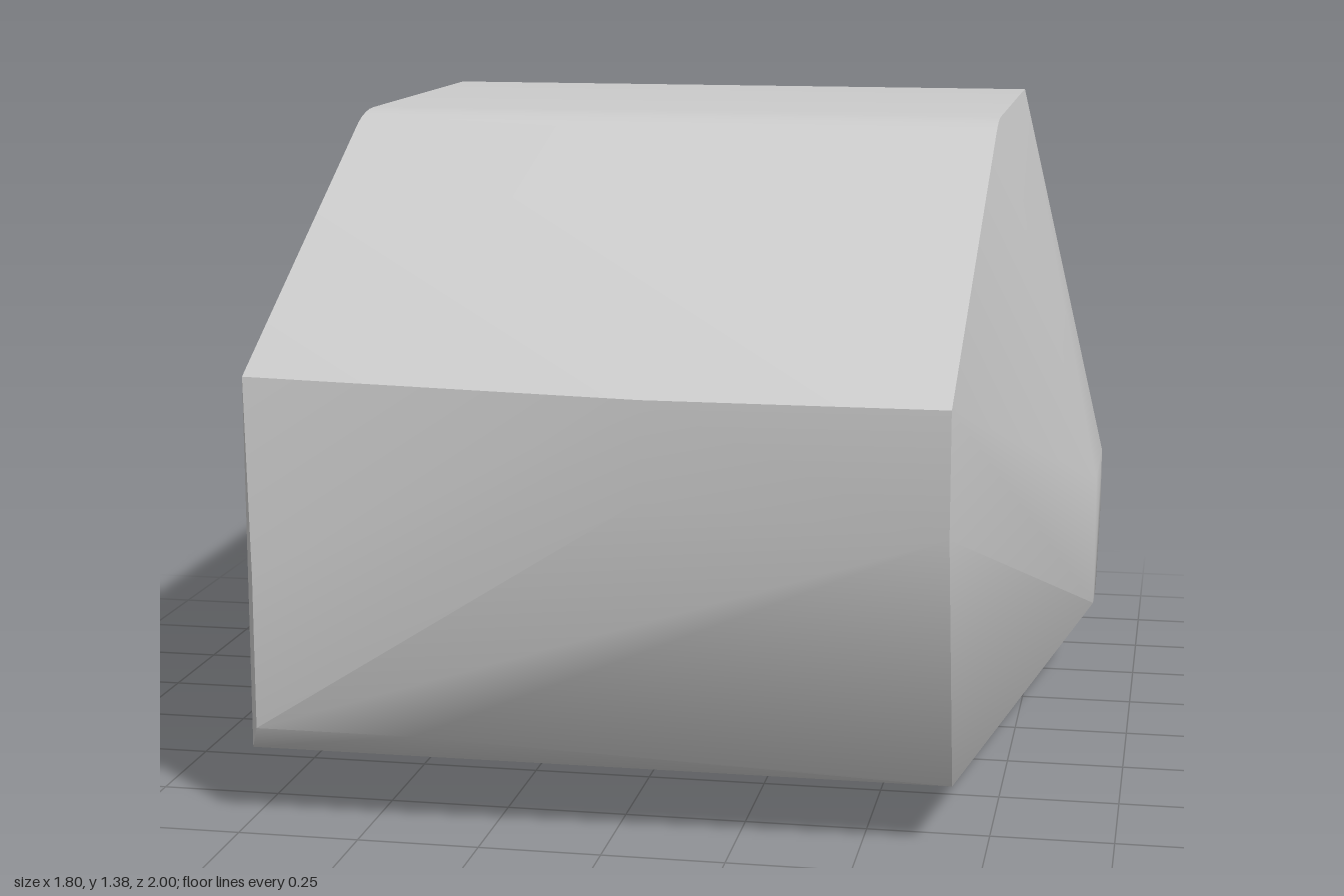
import * as THREE from 'three';
import { ConvexGeometry } from 'three/addons/geometries/ConvexGeometry.js';
import { toCreasedNormals } from 'three/addons/utils/BufferGeometryUtils.js';

export function createModel() {
  const group = new THREE.Group();
  const points = [];
  const add = (x, y, z) => points.push(new THREE.Vector3(x, y, z));

  // points on a circular arc in the side profile, given as [z, y]
  const arc = (cz, cy, r, from, to, steps) =>
    Array.from({ length: steps + 1 }, (_, i) => {
      const a = THREE.MathUtils.degToRad(from + ((to - from) * i) / steps);
      return [cz + r * Math.cos(a), cy + r * Math.sin(a)];
    });

  // side profile: rounded top front, rounded top back, big round at the bottom back
  const profile = [
    ...arc(-0.12, 1.075, 0.3, 66.5, 90, 4),
    ...arc(-0.93, 1.305, 0.07, 90, 180, 6),
    ...arc(-0.69, 0.31, 0.31, 180, 270, 10),
    [-0.2, 0],
    [0.84, 0.13],
  ];
  for (const x of [-0.77, 0.68]) for (const [z, y] of profile) add(x, y, z);

  // blunt front end, cut back towards -x
  add(0.68, 0.92, 1);
  add(0.68, 0.67, 1);
  add(0.08, 0.92, 1);
  add(0.08, 0.72, 1);
  add(-0.77, 0.91, 0.84);
  add(-0.73, 0.52, 0.93);
  add(-0.73, 0.2, 0.93);
  add(-0.4, 0.2, 0.93);

  // bulging side panels
  for (const [y, z] of [[0.52, -0.88], [0.52, -0.5], [0.13, -0.5], [0.13, -0.64], [0.3, -0.88]]) add(-0.9, y, z);
  for (const [y, z] of [[0.48, -0.84], [0.48, -0.5], [0.17, -0.5], [0.17, -0.65], [0.33, -0.84]]) add(0.9, y, z);

  // softened lower back corner on +x
  for (const [z, y] of arc(-0.67, 0.33, 0.31, 180, 270, 8)) add(0.76, y, z);

  const geometry = toCreasedNormals(new ConvexGeometry(points), 0.8);
  const body = new THREE.Mesh(geometry, new THREE.MeshStandardMaterial({ color: 0xcccccc }));
  body.name = 'body';
  group.add(body);
  return group;
}
